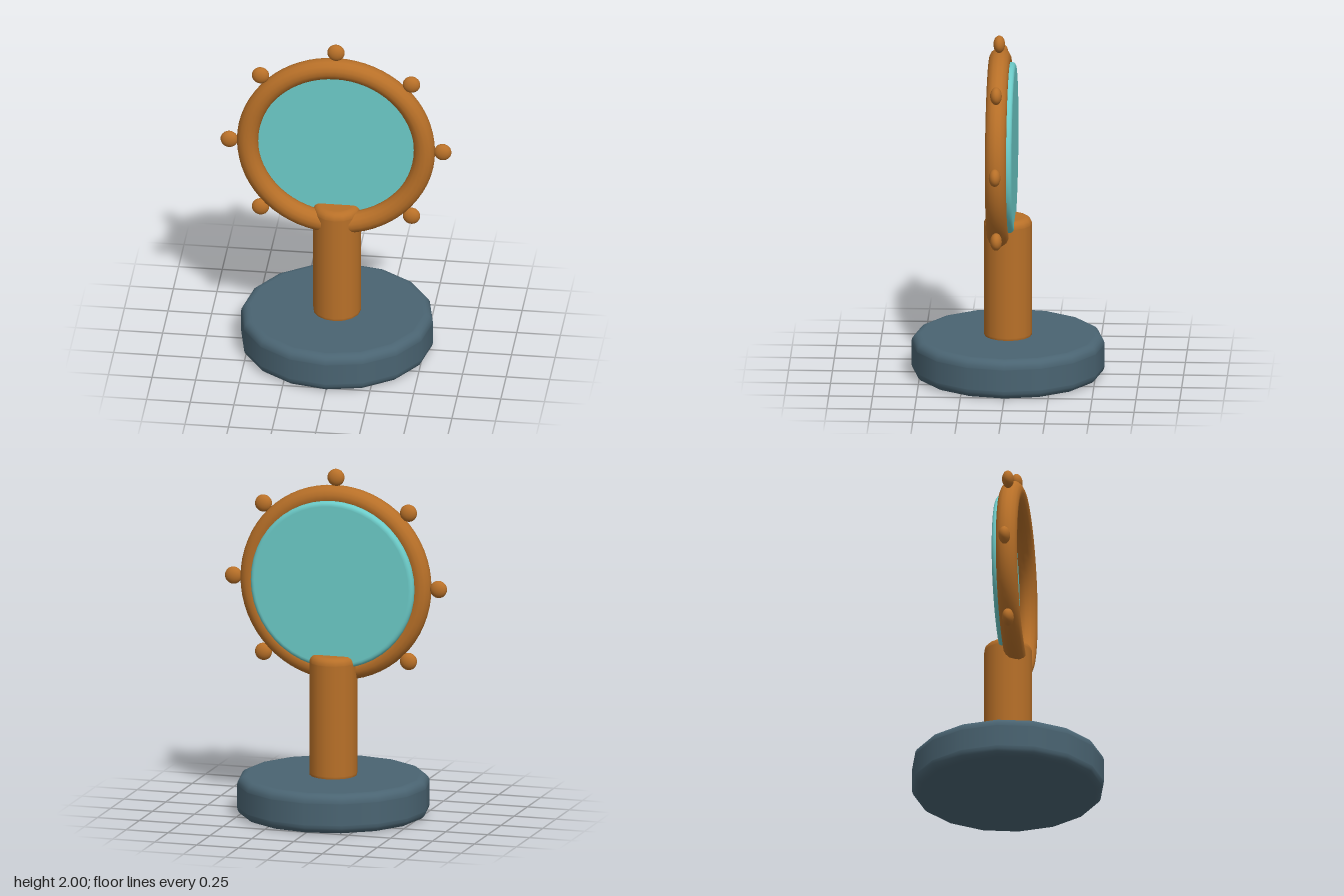
import * as THREE from 'three';

const material = (name, color) => {
  const m = new THREE.MeshStandardMaterial({ color });
  m.name = name;
  return m;
};

// Upright solid of revolution with rounded rims; extra points keep the flats flat
function roundedDisc(radius, y0, y1, bevel, sides) {
  const steps = 5, eps = 0.003;
  const r = radius - bevel;
  const pts = [new THREE.Vector2(0, y0), new THREE.Vector2(r - eps, y0)];
  for (let i = 0; i <= steps; i++) {
    const a = (i / steps) * Math.PI / 2;
    pts.push(new THREE.Vector2(r + bevel * Math.sin(a), y0 + bevel - bevel * Math.cos(a)));
  }
  pts.push(new THREE.Vector2(radius, y0 + bevel + eps), new THREE.Vector2(radius, y1 - bevel - eps));
  for (let i = 0; i <= steps; i++) {
    const a = (i / steps) * Math.PI / 2;
    pts.push(new THREE.Vector2(r + bevel * Math.cos(a), y1 - bevel + bevel * Math.sin(a)));
  }
  pts.push(new THREE.Vector2(r - eps, y1), new THREE.Vector2(0, y1));
  return new THREE.LatheGeometry(pts, sides);
}

export function createModel() {
  const group = new THREE.Group();
  group.name = 'tableMirror';
  const slate = material('slate', 0x4a6472);
  const copper = material('copper', 0xb87028);
  const glass = material('aquaGlass', 0x6ccbc8);

  const add = (name, geometry, mat, x = 0, y = 0, z = 0) => {
    const mesh = new THREE.Mesh(geometry, mat);
    mesh.name = name;
    mesh.position.set(x, y, z);
    group.add(mesh);
    return mesh;
  };

  const centreY = 1.34, ringZ = 0.05;

  // Foot and post
  add('base', roundedDisc(0.55, 0, 0.23, 0.05, 16), slate);
  add('post', roundedDisc(0.137, 0.2, 0.93, 0.04, 16), copper);

  // Round frame
  add('frameRing', new THREE.TorusGeometry(0.507, 0.061, 14, 64), copper, 0, centreY, ringZ);

  // Mirror disc set in the back of the frame
  const mirror = roundedDisc(0.487, -0.04, 0.015, 0.024, 48);
  mirror.rotateX(Math.PI / 2);
  add('mirrorDisc', mirror, glass, 0, centreY, 0);

  // Flattened knobs around the frame, none where the post meets it
  const knob = new THREE.SphereGeometry(0.05, 20, 14);
  knob.scale(1, 1, 0.67);
  for (let i = -1; i <= 5; i++) {
    const a = i * Math.PI / 4;
    add(`knob${i + 2}`, knob, copper, 0.612 * Math.cos(a), centreY + 0.612 * Math.sin(a), ringZ);
  }
  return group;
}
